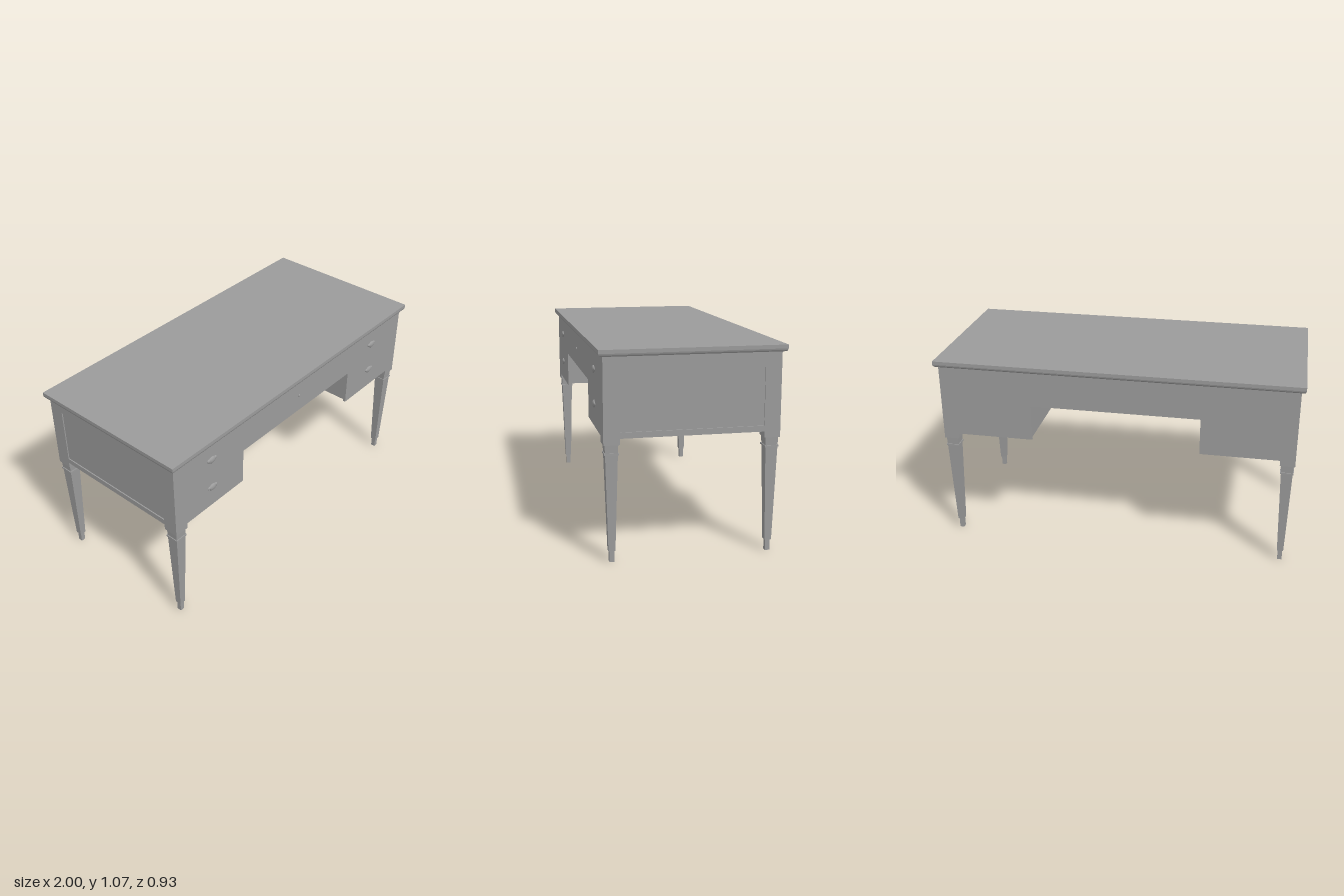
import * as THREE from 'three';

const color = 0x9b9b9b;
const mat = new THREE.MeshStandardMaterial({ color, flatShading: true });
const smooth = new THREE.MeshStandardMaterial({ color });

const BX = 0.977, BZ = 0.445, POST = 0.081; // body half extents and corner post width
const TOP = 1.036, LOW = 0.635, KNEE = 0.838, KX = 0.466, POST_LOW = 0.604;

export function createModel() {
  const desk = new THREE.Group();
  desk.name = 'desk';

  const add = (name, geo, x = 0, y = 0, z = 0, parent = desk, material = mat) => {
    const m = new THREE.Mesh(geo, material);
    m.name = name;
    m.position.set(x, y, z);
    parent.add(m);
    return m;
  };
  const poly = (pts) => new THREE.Shape(pts.map(([x, y]) => new THREE.Vector2(x, y)));
  const extrude = (shape, depth) => new THREE.ExtrudeGeometry(shape, { depth, bevelEnabled: false });

  // Outline of the two pedestals joined over the kneehole
  const outline = (hx, low, knee) => poly([
    [-hx, low], [-KX, low], [-KX, knee], [KX, knee],
    [KX, low], [hx, low], [hx, TOP], [-hx, TOP],
  ]);

  // Square section solid from [y, halfX, halfZ] rings, capped at both ends
  const squareLoft = (rings) => {
    const pos = [];
    const corners = ([y, a, b]) => [[a, y, b], [a, y, -b], [-a, y, -b], [-a, y, b]];
    const quad = (a, b, c, d) => pos.push(...a, ...b, ...c, ...a, ...c, ...d);
    for (let i = 0; i < rings.length - 1; i++) {
      const lo = corners(rings[i]), hi = corners(rings[i + 1]);
      for (let k = 0; k < 4; k++) {
        const n = (k + 1) % 4;
        quad(lo[k], lo[n], hi[n], hi[k]);
      }
    }
    const first = corners(rings[0]), last = corners(rings[rings.length - 1]);
    quad(first[3], first[2], first[1], first[0]);
    quad(...last);
    const g = new THREE.BufferGeometry();
    g.setAttribute('position', new THREE.Float32BufferAttribute(pos, 3));
    g.computeVertexNormals();
    return g;
  };

  // Table top with a rounded lower edge
  add('tableTop', squareLoft([
    [TOP, 0.991, 0.458], [1.039, 0.995, 0.462], [1.044, 0.998, 0.465],
    [1.051, 1, 0.467], [1.07, 1, 0.467],
  ]));

  // Front and back boards
  const boardDepth = 0.016;
  const board = extrude(outline(BX - POST, LOW, KNEE), boardDepth);
  add('frontBoard', board, 0, 0, BZ - boardDepth);
  add('backBoard', board, 0, 0, -BZ);

  // Inner carcass, with its undersides set slightly above the rims
  const inner = BZ - boardDepth;
  add('carcass', extrude(outline(BX - 0.016, LOW + 0.012, KNEE + 0.012), 2 * inner), 0, 0, -inner);

  // End frames around the recessed side panels
  const hz = BZ - POST;
  const frame = poly([[-hz, LOW], [hz, LOW], [hz, TOP], [-hz, TOP]]);
  frame.holes.push(poly([[-hz + 0.002, 0.665], [-hz + 0.002, 0.975], [hz - 0.002, 0.975], [hz - 0.002, 0.665]]));
  const frameGeo = extrude(frame, 0.016);
  const panelGeo = new THREE.BoxGeometry(0.01, 0.31, 2 * hz - 0.004);

  // Tapered square leg with a collar and a small square foot
  const legGeo = squareLoft([
    [0.058, 0.0175, 0.0175], [0.555, 0.0315, 0.0315], [POST_LOW, 0.0335, 0.0335],
  ]);
  const collarGeo = new THREE.BoxGeometry(0.072, 0.009, 0.072);
  const footGeo = new THREE.BoxGeometry(0.025, 0.058, 0.025);
  const postGeo = new THREE.BoxGeometry(POST, TOP - POST_LOW, POST);

  for (const sx of [-1, 1]) {
    const side = sx > 0 ? 'left' : 'right';
    add(side + 'EndFrame', frameGeo, sx * (BX - 0.016), 0, 0).rotation.y = sx * Math.PI / 2;
    add(side + 'SidePanel', panelGeo, sx * (BX - 0.011), 0.82, 0);

    for (const sz of [-1, 1]) {
      const leg = new THREE.Group();
      leg.name = side + (sz > 0 ? 'FrontLeg' : 'BackLeg');
      leg.position.set(sx * (BX - POST / 2), 0, sz * (BZ - POST / 2));
      desk.add(leg);
      add('cornerPost', postGeo, 0, (TOP + POST_LOW) / 2, 0, leg);
      add('taperedLeg', legGeo, 0, 0, 0, leg);
      add('collar', collarGeo, 0, 0.5575, 0, leg);
      add('foot', footGeo, 0, 0.029, 0, leg);
    }
  }

  // Oval drawer pulls with small side lobes and a lower drop
  const ball = new THREE.SphereGeometry(1, 20, 12);
  for (const x of [-0.706, 0.691]) {
    for (const y of [0.932, 0.754]) {
      const pull = new THREE.Group();
      pull.name = 'drawerPull';
      pull.position.set(x, y, BZ);
      desk.add(pull);
      add('pullCentre', ball, 0, 0, 0, pull, smooth).scale.set(0.026, 0.019, 0.011);
      for (const s of [-1, 1]) {
        add('pullLobe', ball, s * 0.023, 0.003, 0, pull, smooth).scale.set(0.012, 0.01, 0.008);
      }
      add('pullDrop', ball, 0, -0.013, 0, pull, smooth).scale.set(0.012, 0.008, 0.009);
    }
  }

  // Keyhole plate in the middle drawer
  add('keyhole', ball, 0, 0.936, BZ, desk, smooth).scale.set(0.006, 0.009, 0.005);

  return desk;
}
